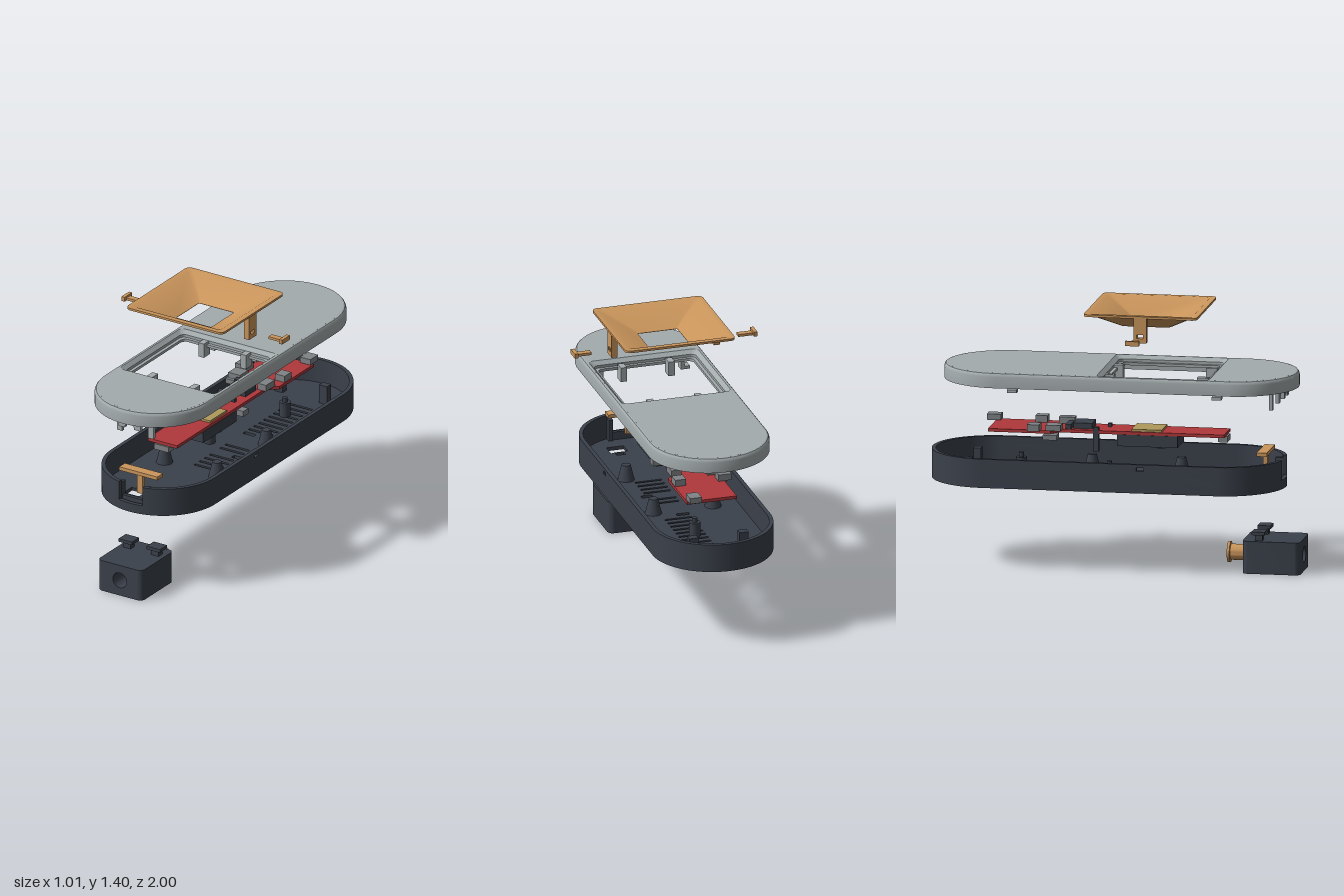
import * as THREE from 'three';
import { toCreasedNormals, mergeGeometries } from 'three/addons/utils/BufferGeometryUtils.js';

export function createModel() {
  const root = new THREE.Group();
  root.name = 'explodedDevice';
  const mat = (name, color) => {
    const m = new THREE.MeshStandardMaterial({ color });
    m.name = name;
    return m;
  };
  const dark = mat('charcoal', 0x3b414b), pale = mat('pale grey', 0xa3abad);
  const orange = mat('copper orange', 0xcb965c), red = mat('board red', 0xb0383c);
  const metal = mat('connector grey', 0x808386), gold = mat('screen gold', 0xb09a5c);

  const add = (parent, name, geo, m) => {
    const mesh = new THREE.Mesh(geo, m);
    mesh.name = name;
    parent.add(mesh);
    return mesh;
  };
  const group = (name) => {
    const g = new THREE.Group();
    g.name = name;
    root.add(g);
    return g;
  };
  // Box given by its limits on each axis
  const box = (parent, name, m, x0, x1, y0, y1, z0, z1) => add(parent, name,
    new THREE.BoxGeometry(x1 - x0, y1 - y0, z1 - z0)
      .translate((x0 + x1) / 2, (y0 + y1) / 2, (z0 + z1) / 2), m);
  const post = (parent, name, m, x, z, y0, y1, r0, r1 = r0) => add(parent, name,
    new THREE.CylinderGeometry(r1, r0, y1 - y0, 20).translate(x, (y0 + y1) / 2, z), m);

  // Rounded rectangle outline in (x, z)
  const outline = (hx, hz, r, cz = 0, n = 8) => {
    const pts = [];
    [[1, 1], [-1, 1], [-1, -1], [1, -1]].forEach(([sx, sz], k) => {
      for (let i = 0; i <= n; i++) {
        const a = (k + i / n) * Math.PI / 2;
        pts.push(new THREE.Vector2(sx * (hx - r) + r * Math.cos(a), cz + sz * (hz - r) + r * Math.sin(a)));
      }
    });
    return pts;
  };
  const STRAIGHT = 0.623;
  const stadium = (r, cz) => outline(r, STRAIGHT + r, r - 0.0005, cz, 24);
  // Horizontal slab from an (x, z) outline with holes
  const slab = (pts, yTop, depth, holes = []) => {
    const s = new THREE.Shape(pts);
    s.holes = holes.map((h) => new THREE.Path(h));
    const g = new THREE.ExtrudeGeometry(s, { depth, bevelEnabled: false });
    return toCreasedNormals(g.rotateX(Math.PI / 2).translate(0, yTop, 0), 0.5);
  };
  // Skin through horizontal loops: [points, y]
  const loft = (loops) => {
    const pos = [], idx = [], n = loops[0][0].length;
    loops.forEach(([pts, y]) => pts.forEach((p) => pos.push(p.x, y, p.y)));
    for (let k = 0; k < loops.length - 1; k++) {
      for (let i = 0; i < n; i++) {
        const j = (i + 1) % n, a = k * n, b = a + n;
        idx.push(a + i, b + i, a + j, b + i, b + j, a + j);
      }
    }
    const g = new THREE.BufferGeometry();
    g.setAttribute('position', new THREE.Float32BufferAttribute(pos, 3));
    g.setIndex(idx);
    return toCreasedNormals(g, 0.5);
  };
  const rect = (x, z, w, d) => outline(w / 2, d / 2, 0.004, z, 2).map((p) => new THREE.Vector2(p.x + x, p.y));

  // ---- Funnel bezel with two slotted legs
  const funnel = group('funnel');
  const FZ = 0.17;
  const funnelProfile = [[0.128, 1.31, 0.01], [0.27, 1.388, 0.02], [0.305, 1.388, 0.03], [0.305, 1.4, 0.03],
    [0.275, 1.4, 0.02], [0.11, 1.312, 0.008], [0.11, 1.31, 0.008], [0.128, 1.31, 0.01]];
  add(funnel, 'bezel', loft(funnelProfile.map(([h, y, r]) => [outline(h, h, r, FZ), y])), orange);
  const legShape = new THREE.Shape([[-0.035, 1.255], [0.035, 1.255], [0.035, 1.39], [-0.035, 1.39]]
    .map((p) => new THREE.Vector2(...p)));
  legShape.holes.push(new THREE.Path([[-0.017, 1.28], [-0.017, 1.3], [0.017, 1.3], [0.017, 1.28]]
    .map((p) => new THREE.Vector2(...p))));
  for (const s of [-1, 1]) {
    const leg = new THREE.ExtrudeGeometry(legShape, { depth: 0.033, bevelEnabled: false });
    add(funnel, 'leg', leg.rotateY(Math.PI / 2).translate(s > 0 ? 0.267 : -0.3, 0, FZ), orange);
    // Locking pins beside the funnel
    const span = (a, b) => (s > 0 ? [a, b] : [-b, -a]);
    box(root, 'pinStem', orange, ...span(0.407, 0.49), 1.28, 1.294, 0.148, 0.182);
    box(root, 'pinHead', orange, ...span(0.487, 0.507), 1.28, 1.305, 0.128, 0.202);
  }

  // ---- Lid with recessed window
  const lid = group('lid');
  const LZ = 0.02, WZ = 0.238;
  const lidProfile = [[0.307, 1.052], [0.307, 0.99], [0.327, 0.99], [0.327, 1.05], [0.3235, 1.062], [0.318, 1.068], [0.309, 1.07]];
  add(lid, 'lidRim', loft(lidProfile.map(([r, y]) => [stadium(r, LZ), y])), pale);
  add(lid, 'lidTop', slab(stadium(0.3095, LZ), 1.07, 0.02, [outline(0.303, 0.303, 0.03, WZ)]), pale);
  const recess = [[0.303, 1.07], [0.282, 1.05], [0.282, 1.035], [0.264, 1.035], [0.264, 1.02], [0.303, 1.02], [0.303, 1.05]];
  add(lid, 'windowRecess', loft(recess.map(([h, y]) => [outline(h, h, 0.03, WZ), y])), pale);
  box(lid, 'crossRib', pale, -0.29, 0.29, 1.025, 1.05, -0.1, -0.085);
  for (const s of [-1, 1]) {
    const span = (a, b) => (s > 0 ? [a, b] : [-b, -a]);
    box(lid, 'frontProng', pale, ...span(0.082, 0.115), 0.88, 1.05, 0.83, 0.85);
    for (const z of [0.575, -0.525]) {
      box(lid, 'hookArm', pale, ...span(0.215, 0.235), 0.955, 1.05, z - 0.025, z + 0.025);
      box(lid, 'hookFoot', pale, ...span(0.215, 0.265), 0.955, 0.972, z - 0.025, z + 0.025);
    }
    for (const z of [0.48, -0.025, -0.13, -0.42]) {
      box(lid, 'stop', pale, ...span(0.115, 0.15), 0.97, 1.05, z - 0.03, z + 0.03);
    }
  }
  const arch = new THREE.Shape();
  arch.moveTo(0.07, 1.03).lineTo(-0.07, 1.03).lineTo(-0.07, 0.935).lineTo(-0.035, 0.935);
  arch.absarc(0, 0.935, 0.03, Math.PI, 0, true);
  arch.lineTo(0.07, 0.935);
  add(lid, 'archPlate', new THREE.ExtrudeGeometry(arch, { depth: 0.02, bevelEnabled: false }).translate(0, 0, 0.885), pale);

  // ---- Circuit board
  const board = group('circuitBoard');
  const boardHalf = [[0.092, 0.585], [0.092, -0.3], [0.138, -0.34], [0.138, -0.675]];
  const boardPts = [...boardHalf, ...boardHalf.map(([x, z]) => [-x, z]).reverse()].map((p) => new THREE.Vector2(...p));
  add(board, 'board', slab(boardPts, 0.734, 0.017), red);
  box(board, 'screen', gold, -0.082, 0.082, 0.734, 0.746, 0.085, 0.248);
  box(board, 'battery', dark, -0.095, 0.095, 0.655, 0.717, 0.01, 0.335);
  box(board, 'pinHeader', dark, -0.092, -0.06, 0.62, 0.75, -0.12, -0.09);
  box(board, 'largeChip', dark, -0.06, 0.06, 0.734, 0.765, -0.23, -0.13);
  box(board, 'smallChip', dark, -0.085, 0.03, 0.734, 0.76, -0.27, -0.24);
  box(board, 'tinyChip', dark, 0.02, 0.05, 0.734, 0.752, -0.06, -0.04);
  for (const [x0, x1, y0, y1, z0, z1] of [
    [-0.045, 0.045, 0.685, 0.717, 0.545, 0.595], [0.07, 0.13, 0.685, 0.717, -0.05, 0],
    [-0.178, -0.1, 0.69, 0.717, -0.375, -0.3], [0.06, 0.115, 0.734, 0.77, -0.33, -0.245],
    [-0.15, -0.075, 0.734, 0.765, -0.365, -0.285], [-0.178, -0.105, 0.734, 0.77, -0.46, -0.395],
    [0.07, 0.135, 0.738, 0.77, -0.72, -0.645], [0.075, 0.135, 0.734, 0.77, -0.46, -0.395],
  ]) box(board, 'connector', metal, x0, x1, y0, y1, z0, z1);

  // ---- Base tray: floor with vents, wall in bands with a front notch and side slots
  const base = group('base');
  const BZ = -0.0475;
  const holes = [];
  for (let i = 0; i < 7; i++) if (i !== 4) holes.push(rect(0.06, 0.25 - i * 0.05, 0.15, 0.016));
  for (let i = 0; i < 9; i++) holes.push(rect(0.06, -0.28 - i * 0.048, 0.15, 0.016));
  holes.push(rect(0.13, 0.055, 0.06, 0.03), rect(0.02, -0.23, 0.07, 0.025));
  for (const s of [-1, 1]) holes.push(rect(s * 0.088, 0.71, 0.095, 0.08), rect(s * 0.088, 0.655, 0.05, 0.04));
  add(base, 'floor', slab(stadium(0.32, BZ), 0.47, 0.02, holes), dark);
  const wallPiece = (s, e, z0, gap) => {
    const arc = (r) => {
      const pts = [new THREE.Vector2(s * r, z0)];
      for (let i = 0; i <= 24; i++) {
        const u = (Math.PI / 2 - gap) * i / 24;
        pts.push(new THREE.Vector2(s * r * Math.cos(u), BZ + e * (STRAIGHT + r * Math.sin(u))));
      }
      return pts;
    };
    return [...arc(0.327), ...arc(0.305).reverse()];
  };
  const pieces = [];
  for (const [y0, y1, gap, slot] of [[0.45, 0.5, 0, 0], [0.5, 0.57, 0.23, 0], [0.57, 0.588, 0.23, 0.02], [0.588, 0.605, 0.23, 0]]) {
    for (const s of [-1, 1]) {
      for (const e of [-1, 1]) pieces.push(slab(wallPiece(s, e, 0.175 + e * slot, e > 0 ? gap : 0), y1, y1 - y0));
    }
  }
  add(base, 'wall', mergeGeometries(pieces), dark);
  for (const s of [-1, 1]) {
    box(base, 'notchCheek', dark, s * 0.085 - 0.012, s * 0.085 + 0.012, 0.47, 0.59, 0.83, 0.88);
    for (const z of [0.31, -0.17]) post(base, 'taperedPost', dark, s * 0.165, z, 0.47, 0.555, 0.045, 0.024);
    box(base, 'rearPost', dark, s * 0.14 - 0.025, s * 0.14 + 0.025, 0.47, 0.575, -0.8, -0.76);
  }
  box(base, 'notchSill', dark, -0.075, 0.075, 0.47, 0.515, 0.84, 0.86);
  for (const [x, z] of [[0.05, -0.53], [-0.1, -0.03]]) {
    post(base, 'boss', dark, x, z, 0.47, 0.55, 0.03);
    post(base, 'bossPin', dark, x, z, 0.55, 0.575, 0.014);
  }

  // ---- T-shaped latch
  const latch = group('latch');
  box(latch, 'latchBar', orange, -0.12, 0.12, 0.63, 0.65, 0.765, 0.82);
  box(latch, 'latchStem', orange, -0.018, 0.018, 0.52, 0.632, 0.78, 0.806);

  // ---- Nozzle block with two T-tabs
  const block = group('nozzleBlock');
  const body = outline(0.14, 0.0875, 0.002, 0.0875, 2);
  const bodyShape = new THREE.Shape(body);
  bodyShape.holes.push(new THREE.Path().absarc(0, 0.088, 0.043, 0, Math.PI * 2, true));
  // Core is bored through; rounded side strips carry the vertical corners
  const bore = new THREE.ExtrudeGeometry(bodyShape, { depth: 0.31, bevelEnabled: false, curveSegments: 32, steps: 1 });
  const p = bore.attributes.position;
  for (let i = 0; i < p.count; i++) {
    if (Math.abs(p.getX(i)) > 0.1) p.setX(i, Math.sign(p.getX(i)) * 0.11);
  }
  add(block, 'boredCore', toCreasedNormals(bore.translate(0, 0, 0.69), 0.5), dark);
  for (const s of [-1, 1]) {
    const side = [new THREE.Vector2(s * 0.11, 0.69)];
    for (const [cz, a0] of [[0.72, -Math.PI / 2], [0.97, 0]]) {
      for (let i = 0; i <= 8; i++) {
        const a = a0 + i / 8 * Math.PI / 2;
        side.push(new THREE.Vector2(s * (0.11 + 0.03 * Math.cos(a)), cz + 0.03 * Math.sin(a)));
      }
    }
    add(block, 'roundedSide', slab(side, 0.175, 0.175), dark);
    box(block, 'tabPost', dark, s * 0.088 - 0.024, s * 0.088 + 0.024, 0.17, 0.21, 0.755, 0.795);
    box(block, 'tabCap', dark, s * 0.088 - 0.042, s * 0.088 + 0.042, 0.207, 0.225, 0.74, 0.81);
  }
  const nozzle = [[0.025, 0.82], [0.025, 0.592], [0.056, 0.592], [0.056, 0.606], [0.0425, 0.608], [0.0425, 0.82], [0.025, 0.82]]
    .map(([r, z]) => new THREE.Vector2(r, z));
  const nozzleGeo = toCreasedNormals(new THREE.LatheGeometry(nozzle, 32), 0.5);
  add(block, 'nozzle', nozzleGeo.rotateX(Math.PI / 2).translate(0, 0.088, 0), orange);

  return root;
}
